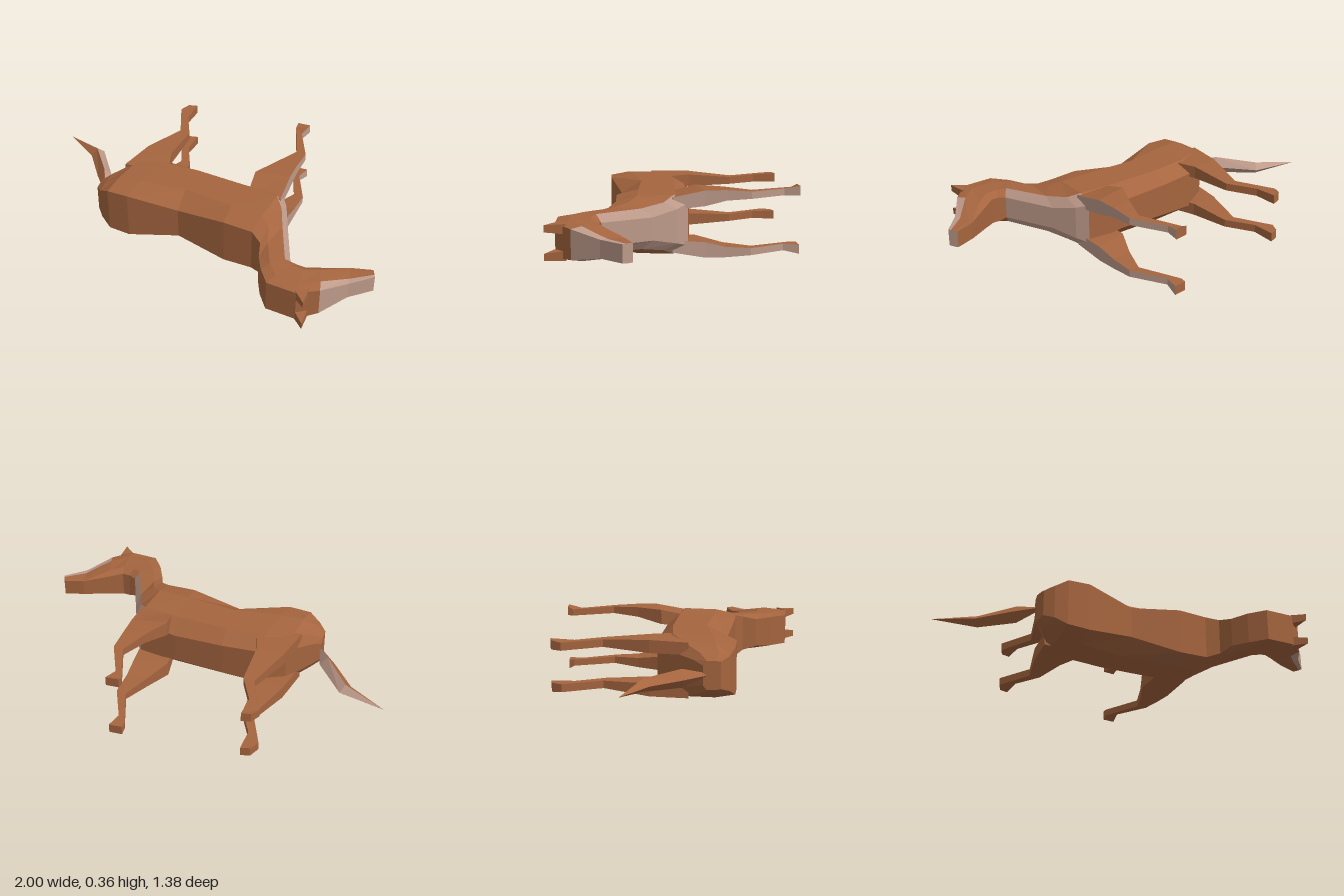
import * as THREE from 'three';

const MID = 0.182; // height of the animal's plane of symmetry as it lies on its side

const coat = new THREE.MeshStandardMaterial({ color: 0xa5653f });
coat.name = 'brown coat';
const pale = new THREE.MeshStandardMaterial({ color: 0xbf9b8b });
pale.name = 'pale underside';
coat.flatShading = pale.flatShading = true;

// Joins cross-sections (arrays of [x, y, z]) into a closed faceted skin.
// isPale(i, j) picks the faces in the second colour; caps use j = -1.
function loft(name, rings, isPale = () => false) {
  const n = rings[0].length;
  const tris = [[], []];
  const add = (light, a, b, c) => tris[light ? 1 : 0].push([a, b, c]);
  for (let i = 0; i < rings.length - 1; i++) {
    for (let j = 0; j < n; j++) {
      const k = (j + 1) % n;
      const light = isPale(i, j);
      add(light, rings[i][j], rings[i][k], rings[i + 1][k]);
      add(light, rings[i][j], rings[i + 1][k], rings[i + 1][j]);
    }
  }
  const first = rings[0];
  const last = rings[rings.length - 1];
  for (let j = 1; j < n - 1; j++) {
    add(isPale(0, -1), first[0], first[j + 1], first[j]);
    add(isPale(rings.length - 1, -1), last[0], last[j], last[j + 1]);
  }
  // Turn every face outward using the sign of the enclosed volume
  let volume = 0;
  const v = (p) => new THREE.Vector3(...p);
  const all = [...tris[0], ...tris[1]];
  for (const [a, b, c] of all) volume += v(a).dot(v(b).cross(v(c)));
  if (volume < 0) for (const t of all) t.reverse();

  const geometry = new THREE.BufferGeometry();
  geometry.setAttribute('position', new THREE.Float32BufferAttribute(all.flat(2), 3));
  geometry.addGroup(0, tris[0].length * 3, 0);
  geometry.addGroup(tris[0].length * 3, tris[1].length * 3, 1);
  geometry.computeVertexNormals();
  const mesh = new THREE.Mesh(geometry, [coat, pale]);
  mesh.name = name;
  return mesh;
}

// Eight-sided section between a back point and a belly point
function bodyRing([tx, tz, bx, bz, ...w]) {
  const heights = [0, 0.3, 0.8, 1];
  const half = heights.map((t, i) => [tx + (bx - tx) * t, MID + w[i], tz + (bz - tz) * t]);
  const other = half.map(([x, y, z]) => [x, 2 * MID - y, z]).reverse();
  return [...half, ...other];
}

// Four-sided leg section: rear point, front point, inner and outer offsets
function legRing([rx, rz, fx, fz, inner, outer], side) {
  const i = MID + side * inner;
  const o = MID + side * outer;
  return [[rx, i, rz], [rx, o, rz], [fx, o, fz], [fx, i, fz]];
}

export function createModel() {
  const model = new THREE.Group();
  model.name = 'horse';

  // Rump, barrel, chest, neck and head: back x,z, belly x,z, four half widths
  const body = [
    [-0.6, 0.18, -0.6, 0.09, 0.07, 0.075, 0.075, 0.05],
    [-0.56, 0.225, -0.55, 0.04, 0.09, 0.105, 0.105, 0.07],
    [-0.5, 0.258, -0.44, -0.08, 0.125, 0.145, 0.145, 0.09],
    [-0.38, 0.27, -0.3, -0.14, 0.13, 0.153, 0.153, 0.1],
    [-0.1, 0.235, -0.1, -0.13, 0.085, 0.153, 0.153, 0.09],
    [0.18, 0.29, 0.18, -0.1, 0.125, 0.153, 0.153, 0.08],
    [0.34, 0.305, 0.39, -0.06, 0.12, 0.152, 0.155, 0.11],
    [0.4, 0.35, 0.43, 0.0, 0.1, 0.13, 0.125, 0.09],
    [0.42, 0.43, 0.48, 0.13, 0.08, 0.105, 0.105, 0.06],
    [0.46, 0.52, 0.58, 0.4, 0.085, 0.1, 0.1, 0.06],
    [0.52, 0.61, 0.62, 0.41, 0.085, 0.095, 0.095, 0.07],
    [0.68, 0.63, 0.66, 0.415, 0.085, 0.092, 0.092, 0.07],
    [0.78, 0.56, 0.73, 0.38, 0.075, 0.085, 0.08, 0.06],
    [0.89, 0.43, 0.87, 0.31, 0.045, 0.047, 0.047, 0.045],
    [1.0, 0.335, 0.98, 0.285, 0.045, 0.047, 0.047, 0.045],
  ];
  const throat = (i, j) => i >= 6 && i <= 8 && j >= 2 && j <= 4;
  const muzzle = (i, j) => (i >= 12 && (j === 0 || j >= 6)) || (i === 14 && j === -1);
  model.add(loft('bodyAndHead', body.map(bodyRing), (i, j) => throat(i, j) || muzzle(i, j)));

  // Legs and ears, one of each per side
  const frontLeg = [
    [0.22, 0.02, 0.4, 0.02, 0.08, 0.145],
    [0.21, -0.125, 0.4, -0.15, 0.095, 0.177],
    [0.29, -0.26, 0.405, -0.26, 0.122, 0.177],
    [0.36, -0.4, 0.415, -0.39, 0.13, 0.168],
    [0.285, -0.63, 0.335, -0.58, 0.13, 0.166],
    [0.29, -0.66, 0.36, -0.66, 0.132, 0.182],
  ];
  const hindLeg = [
    [-0.5, 0.02, -0.25, 0.02, 0.08, 0.145],
    [-0.45, -0.18, -0.3, -0.17, 0.08, 0.148],
    [-0.35, -0.42, -0.29, -0.41, 0.09, 0.13],
    [-0.43, -0.63, -0.36, -0.565, 0.088, 0.13],
    [-0.4, -0.68, -0.35, -0.69, 0.088, 0.137],
  ];
  for (const side of [1, -1]) {
    const label = side > 0 ? 'Upper' : 'Lower';
    model.add(loft('frontLeg' + label, frontLeg.map((r) => legRing(r, side)), (i, j) => j === 2));
    model.add(loft('hindLeg' + label, hindLeg.map((r) => legRing(r, side))));
    const ear = [[0.04, 0.052], [0.09, 0.087]].map(([base, tip]) => [
      [0.67, MID + side * base, 0.62],
      [0.73, MID + side * tip, 0.685],
      [0.73, MID + side * base, 0.58],
    ]);
    model.add(loft('ear' + label, ear));
  }

  // Tail: outer point, inner point, half width
  const tail = [
    [-0.6, 0.11, -0.59, 0.07, 0.015],
    [-0.69, 0.0, -0.615, -0.03, 0.048],
    [-0.81, -0.17, -0.76, -0.235, 0.033],
    [-1.0, -0.305, -0.998, -0.306, 0.001],
  ].map(([ox, oz, ix, iz, w]) => {
    const x = (ox + ix) / 2;
    const z = (oz + iz) / 2;
    return [[ox, MID, oz], [x, MID + w, z], [ix, MID, iz], [x, MID - w, z]];
  });
  model.add(loft('tail', tail, (i, j) => j === 1 || j === 2));

  return model;
}
